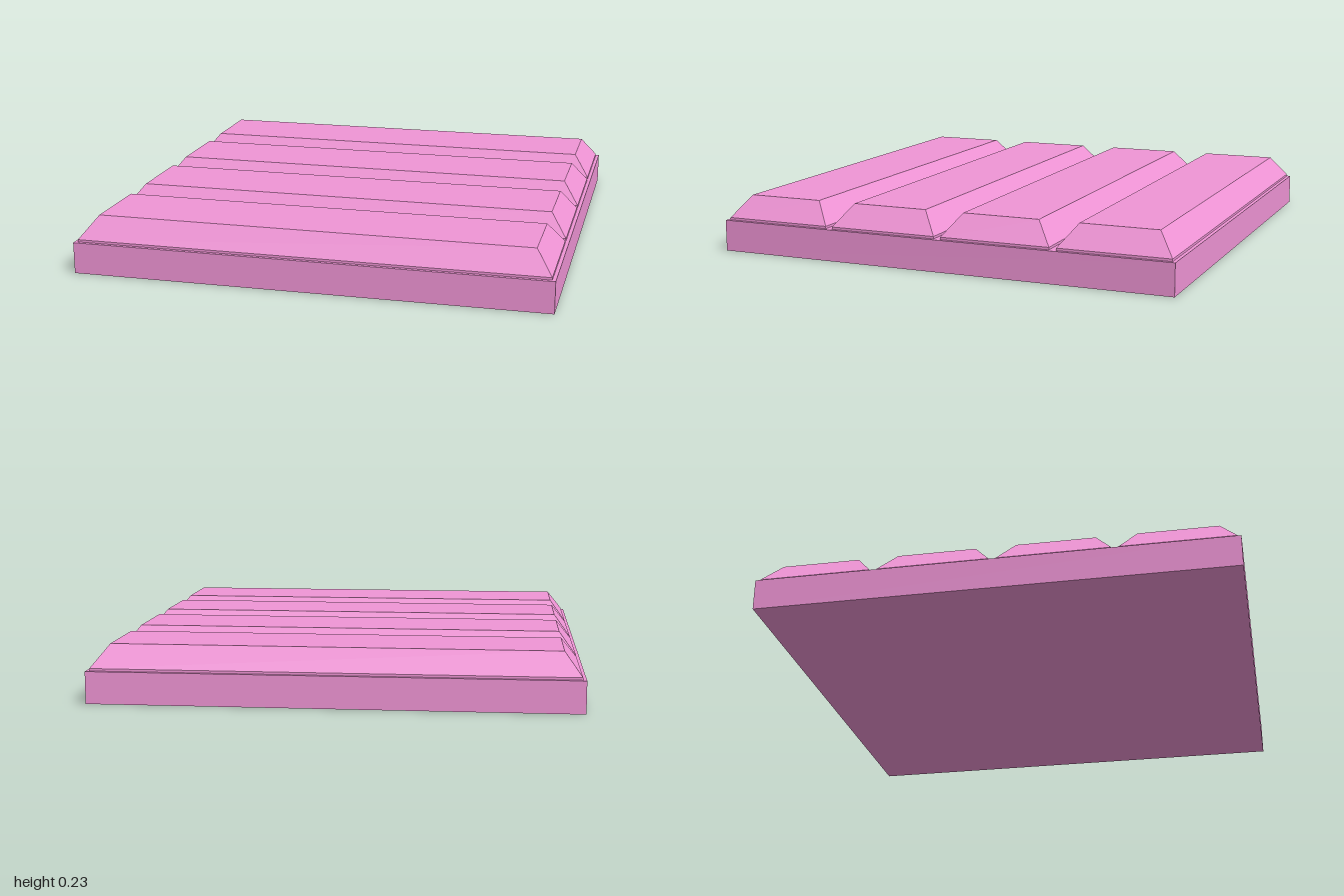
import * as THREE from 'three';

const BASE_TOP = 0.133, LIP_TOP = 0.143, BAR_TOP = 0.235;
const BAR_X = 0.985, BAR_Z = 0.235, BEVEL = 0.07;

// Bar with a thin upright lip and four bevelled sides, made of stacked rectangular rings
function barGeometry() {
  const lift = BASE_TOP;
  const geometry = new THREE.BoxGeometry(2 * BAR_X, 2, 2 * BAR_Z, 1, 2, 1);
  const p = geometry.attributes.position;
  for (let i = 0; i < p.count; i++) {
    const level = Math.round(p.getY(i)) + 1;
    p.setY(i, [BASE_TOP, LIP_TOP, BAR_TOP][level] - lift);
    if (level === 2) {
      p.setX(i, Math.sign(p.getX(i)) * (BAR_X - BEVEL));
      p.setZ(i, Math.sign(p.getZ(i)) * (BAR_Z - BEVEL));
    }
  }
  const flat = geometry.toNonIndexed();
  flat.computeVertexNormals();
  return flat;
}

export function createModel() {
  const model = new THREE.Group();
  model.name = 'ribbedTile';
  const material = new THREE.MeshStandardMaterial({ color: 0xf095d6, flatShading: true });

  // Square base slab
  const base = new THREE.Mesh(new THREE.BoxGeometry(2, BASE_TOP, 2), material);
  base.name = 'base';
  base.position.y = BASE_TOP / 2;
  model.add(base);

  // Four parallel bevelled bars
  const geometry = barGeometry();
  for (let i = 0; i < 4; i++) {
    const bar = new THREE.Mesh(geometry, material);
    bar.name = `bar${i + 1}`;
    bar.position.set(0, BASE_TOP, -0.75 + i * 0.5);
    model.add(bar);
  }
  return model;
}
